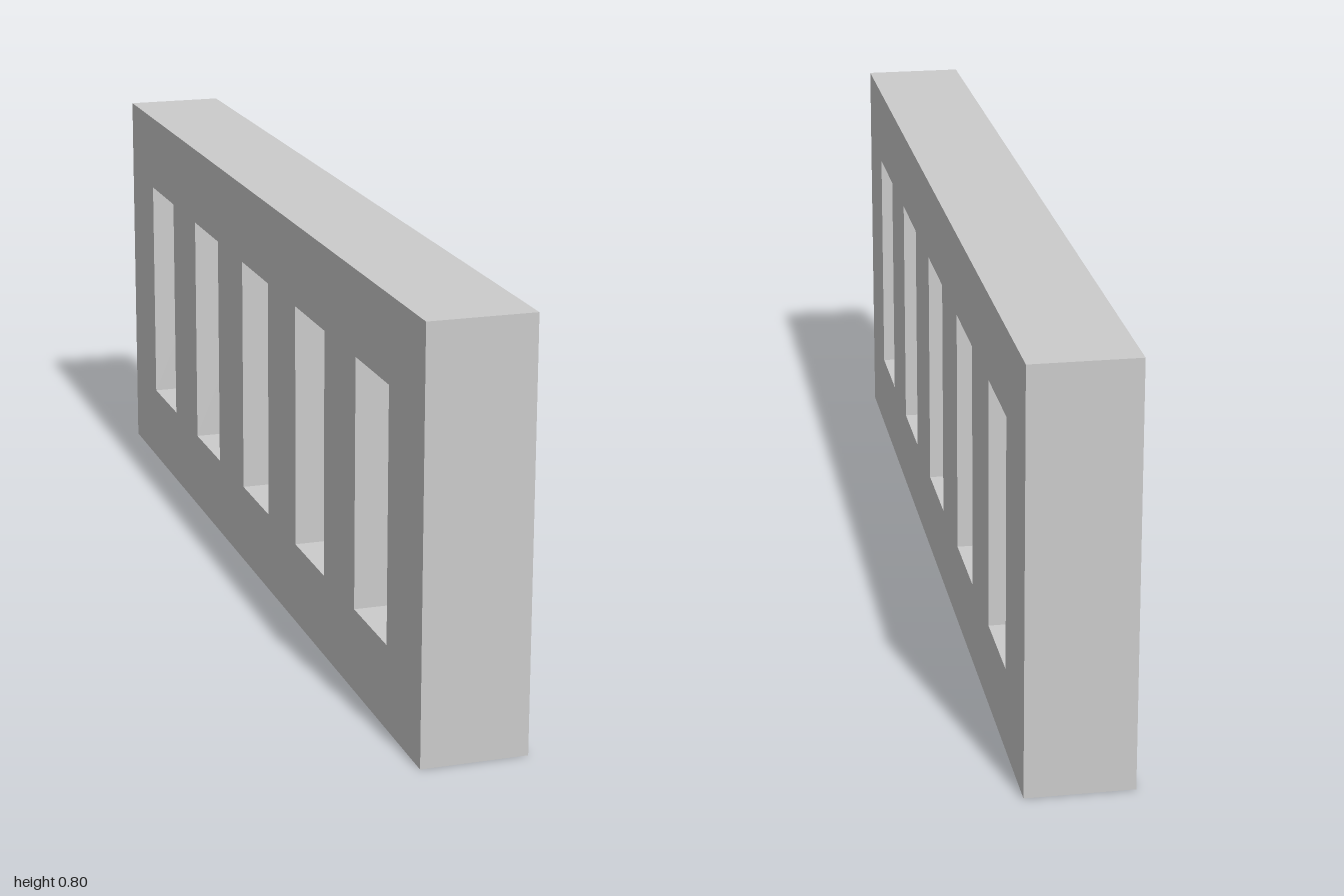
import * as THREE from 'three';

const LENGTH = 2, HEIGHT = 0.8, DEPTH = 0.2;
const OPENINGS = 5;
const BAY = LENGTH / (2 * OPENINGS + 1); // openings and piers share one width
const SILL = 0.16, HEAD = 0.64;

// Adds a rectangle to a shape or path
function rect(path, x0, y0, x1, y1) {
  path.moveTo(x0, y0);
  path.lineTo(x1, y0);
  path.lineTo(x1, y1);
  path.lineTo(x0, y1);
  path.closePath();
  return path;
}

export function createModel() {
  const group = new THREE.Group();
  group.name = 'piercedWall';

  // Wall outline with a row of evenly spaced openings
  const outline = rect(new THREE.Shape(), -LENGTH / 2, 0, LENGTH / 2, HEIGHT);
  for (let i = 0; i < OPENINGS; i++) {
    const x = -LENGTH / 2 + BAY * (2 * i + 1);
    outline.holes.push(rect(new THREE.Path(), x, SILL, x + BAY, HEAD));
  }

  // Extrude through the thickness, then turn the length along z
  const geometry = new THREE.ExtrudeGeometry(outline, { depth: DEPTH, bevelEnabled: false });
  geometry.translate(0, 0, -DEPTH / 2);
  geometry.rotateY(Math.PI / 2);

  const wall = new THREE.Mesh(geometry, new THREE.MeshStandardMaterial({ color: 0xcccccc }));
  wall.name = 'wall';
  group.add(wall);
  return group;
}
